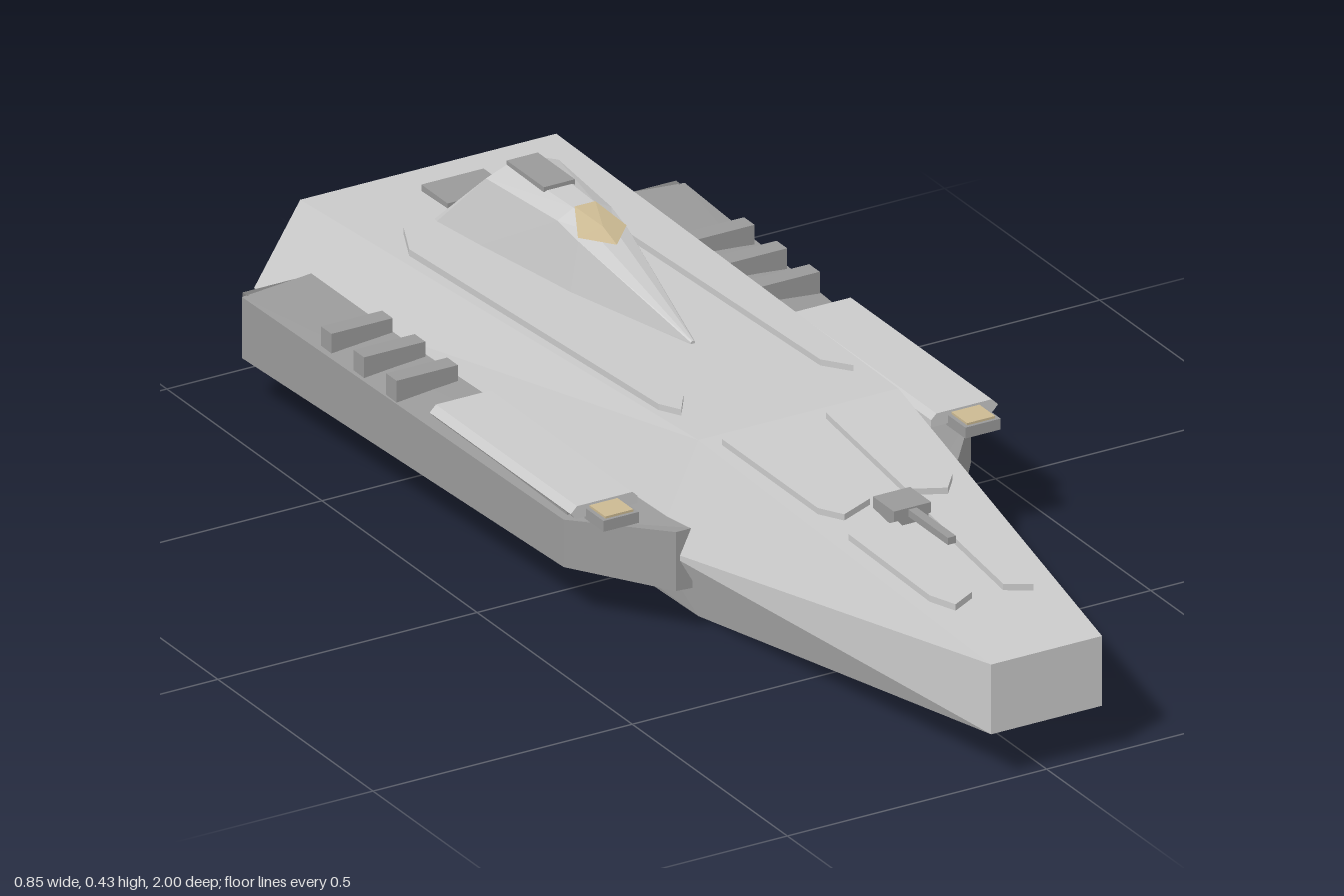
import * as THREE from 'three';

const paint = (name, color) => {
  const m = new THREE.MeshStandardMaterial({ color, flatShading: true });
  m.name = name;
  return m;
};

// Joins closed rings of points into a capped, flat-sided solid.
function loft(rings, flips = []) {
  const tris = [];
  const n = rings[0].length;
  for (let i = 0; i < rings.length - 1; i++) {
    const a = rings[i], b = rings[i + 1];
    for (let j = 0; j < n; j++) {
      const k = (j + 1) % n;
      if (flips.includes(j)) tris.push([a[j], b[j], b[k]], [a[j], b[k], a[k]]);
      else tris.push([a[j], b[j], a[k]], [a[k], b[j], b[k]]);
    }
  }
  const first = rings[0], last = rings[rings.length - 1];
  for (let j = 1; j < n - 1; j++) {
    tris.push([first[0], first[j], first[j + 1]], [last[0], last[j + 1], last[j]]);
  }
  // Turn the faces outward whichever way the rings run
  let volume = 0;
  const [p, q, r] = [0, 1, 2].map(() => new THREE.Vector3());
  for (const [a, b, c] of tris) volume += p.set(...a).dot(q.set(...b).cross(r.set(...c)));
  const ordered = volume < 0 ? tris.map(([a, b, c]) => [a, c, b]) : tris;
  const g = new THREE.BufferGeometry();
  g.setAttribute('position', new THREE.Float32BufferAttribute(ordered.flat(2), 3));
  g.computeVertexNormals();
  return g;
}

// Height of the hull deck
const deckY = z => (z > 0.2 ? 0.325 - 0.13 * (z - 0.2) : 0.325 + 0.028 * (z - 0.2));

export function createModel() {
  const hullGrey = paint('hullGrey', 0xcacaca);
  const midGrey = paint('midGrey', 0x9a9a9a);
  const frameGrey = paint('frameGrey', 0x7c7c7c);
  const tan = paint('tan', 0xcbb992);

  const model = new THREE.Group();
  model.name = 'spaceship';
  const add = (name, geometry, material) => {
    const mesh = new THREE.Mesh(geometry, material);
    mesh.name = name;
    model.add(mesh);
  };
  // Box given by its limits on each axis
  const box = (name, [x0, x1], [y0, y1], [z0, z1], material) => {
    const g = new THREE.BoxGeometry(Math.abs(x1 - x0), y1 - y0, z1 - z0);
    g.translate((x0 + x1) / 2, (y0 + y1) / 2, (z0 + z1) / 2);
    add(name, g, material);
  };

  // Six-sided hull: nose, widest break, stern
  const hullRing = (z, top, side, bottom, yTop, yMid, yBottom) => [
    [side, yMid, z], [top, yTop, z], [-top, yTop, z],
    [-side, yMid, z], [-bottom, yBottom, z], [bottom, yBottom, z],
  ];
  add('hull', loft([
    hullRing(1, 0.107, 0.107, 0.107, 0.22, 0.155, 0.092),
    hullRing(0.2, 0.193, 0.277, 0.193, 0.325, 0.15, 0.002),
    hullRing(-0.993, 0.247, 0.336, 0.25, 0.29, 0.15, 0.022),
  ], [2, 5]), hullGrey);

  // Command tower
  const towerRing = ([z, base, yBase, shoulder, yShoulder, yRidge]) => [
    [base, yBase, z], [shoulder, yShoulder, z], [shoulder * 0.4, yRidge, z],
    [-shoulder * 0.4, yRidge, z], [-shoulder, yShoulder, z], [-base, yBase, z],
  ];
  add('tower', loft([
    [-0.14, 0.005, 0.31, 0.004, 0.318, 0.32],
    [-0.43, 0.064, 0.3, 0.048, 0.396, 0.406],
    [-0.49, 0.07, 0.3, 0.052, 0.41, 0.426],
    [-0.69, 0.094, 0.29, 0.07, 0.41, 0.426],
    [-0.81, 0.106, 0.28, 0.1, 0.292, 0.297],
  ].map(towerRing), [3, 4]), hullGrey);

  // Cockpit window, a thin faceted plate on the tower slope
  const pane = [[0, 0.396, -0.385], [0.047, 0.401, -0.432], [0.02, 0.429, -0.488],
    [-0.02, 0.429, -0.488], [-0.047, 0.401, -0.432]];
  const brow = [0, 0.411, -0.43];
  const paneTris = pane.map((p, i) => [brow, p, pane[(i + 1) % pane.length]]);
  const paneGeometry = new THREE.BufferGeometry();
  paneGeometry.setAttribute('position', new THREE.Float32BufferAttribute(paneTris.flat(2), 3));
  paneGeometry.computeVertexNormals();
  add('cockpitWindow', paneGeometry, tan);

  // Hatches on the tower and behind it
  box('towerHatch', [-0.03, 0.03], [0.42, 0.433], [-0.69, -0.57], midGrey);
  box('deckHatch', [-0.06, 0.06], [0.28, 0.304], [-0.915, -0.83], midGrey);

  // Small gun on the nose
  box('gunMount', [-0.036, 0.036], [0.27, 0.306], [0.5, 0.568], midGrey);
  box('gunBarrel', [-0.008, 0.008], [0.29, 0.303], [0.56, 0.695], midGrey);

  // Raised deck plates, outlined in x and z
  const plates = {
    longDeckPlate: [[0.175, -0.78], [0.212, -0.7], [0.186, 0.06], [0.166, 0.1], [0.132, 0.05], [0.127, -0.74]],
    rearNosePlate: [[0.165, 0.23], [0.035, 0.23], [0.035, 0.49], [0.1, 0.515], [0.13, 0.48]],
    frontNosePlate: [[0.125, 0.57], [0.03, 0.57], [0.03, 0.81], [0.075, 0.832], [0.1, 0.79]],
  };

  for (const s of [1, -1]) {
    const side = s > 0 ? 'left' : 'right';

    for (const [name, outline] of Object.entries(plates)) {
      const ring = lift => outline.map(([x, z]) => [s * x, deckY(z) + lift, z]);
      add(`${side} ${name}`, loft([ring(0.011), ring(-0.006)]), hullGrey);
    }

    // Side pod, tapering into the hull at the front
    const podRing = ([z, inner, yLow, yHigh, outer, y0, y1]) => [
      [s * inner, yLow, z], [s * outer, y0, z], [s * outer, y1, z], [s * inner, yHigh, z],
    ];
    add(`${side} pod`, loft([
      [0.26, 0.24, 0.09, 0.2, 0.272, 0.092, 0.2],
      [0.1, 0.24, 0.084, 0.202, 0.393, 0.1, 0.187],
      [-0.88, 0.25, 0.07, 0.216, 0.427, 0.09, 0.202],
    ].map(podRing)), midGrey);

    // Bevelled armour plate above the pod
    const armour = [[0.283, 0.213], [0.402, 0.213], [0.412, 0.224], [0.4, 0.236], [0.293, 0.236], [0.283, 0.226]];
    add(`${side} armourPlate`, loft([0.155, -0.3].map(z => armour.map(([x, y]) => [s * x, y, z]))), hullGrey);
    box(`${side} armourMount`, [s * 0.29, s * 0.38], [0.17, 0.214], [-0.28, 0.09], midGrey);

    // Forward lamp
    box(`${side} lampHousing`, [s * 0.315, s * 0.383], [0.208, 0.228], [0.15, 0.212], midGrey);
    box(`${side} lamp`, [s * 0.322, s * 0.376], [0.226, 0.232], [0.15, 0.206], tan);

    // Cooling ribs
    for (const z of [-0.64, -0.535, -0.43]) {
      box(`${side} rib`, [s * 0.29, s * 0.408], [0.185, 0.235], [z - 0.017, z + 0.017], midGrey);
    }

    // Pod exhaust
    box(`${side} podFrame`, [s * 0.3, s * 0.418], [0.092, 0.203], [-0.893, -0.878], frameGrey);
    box(`${side} podExhaust`, [s * 0.318, s * 0.408], [0.103, 0.19], [-0.898, -0.892], tan);
  }

  // Stern exhausts in their frame
  box('sternFrame', [-0.24, 0.24], [0.08, 0.235], [-0.997, -0.99], frameGrey);
  for (const x of [-0.155, 0, 0.155]) {
    box('sternExhaust', [x - 0.064, x + 0.064], [0.096, 0.219], [-1, -0.996], tan);
  }

  return model;
}
